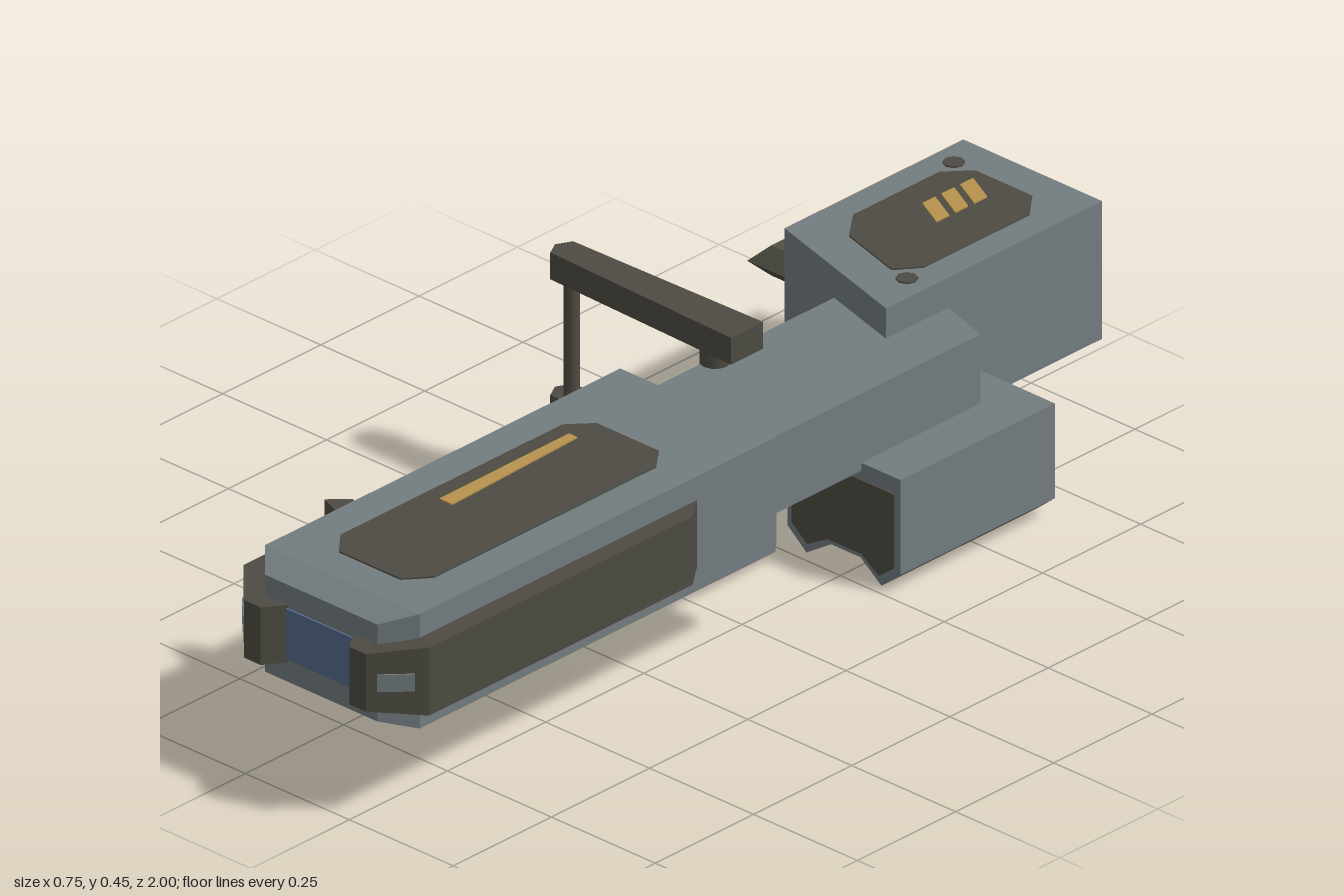
import * as THREE from 'three';

const mat = (name, color) => {
  const m = new THREE.MeshStandardMaterial({ color });
  m.name = name;
  return m;
};

export function createModel() {
  const grey = mat('steelGrey', 0x737d80);
  const olive = mat('darkOlive', 0x4d4b42);
  const blue = mat('windowBlue', 0x566a8c);
  const orange = mat('markingOrange', 0xb8934e);
  const model = new THREE.Group();
  model.name = 'device';

  const add = (name, geo, material) => {
    const mesh = new THREE.Mesh(geo, material);
    mesh.name = name;
    model.add(mesh);
    return mesh;
  };
  const shapeOf = (pts) => new THREE.Shape(pts.map(([x, y]) => new THREE.Vector2(x, y)));

  // Vertical prism from an outline of [x, z] points
  const prism = (pts, y0, y1) => {
    const g = new THREE.ExtrudeGeometry(shapeOf(pts.map(([x, z]) => [x, -z])), { depth: y1 - y0, bevelEnabled: false });
    return g.rotateX(-Math.PI / 2).translate(0, y0, 0);
  };
  // Prism along z from an outline of [x, y] points
  const prismZ = (pts, z0, z1) =>
    new THREE.ExtrudeGeometry(shapeOf(pts), { depth: z1 - z0, bevelEnabled: false }).translate(0, 0, z0);
  const box = (x0, x1, y0, y1, z0, z1) =>
    new THREE.BoxGeometry(x1 - x0, y1 - y0, z1 - z0).translate((x0 + x1) / 2, (y0 + y1) / 2, (z0 + z1) / 2);

  // Flat-shaded skin over four-point sections, turned so faces point outward
  const loft = (rings) => {
    const tris = [];
    const quad = (a, b, c, d) => tris.push([a, b, c], [a, c, d]);
    for (let i = 0; i + 1 < rings.length; i++)
      for (let j = 0; j < 4; j++) {
        const k = (j + 1) % 4;
        quad(rings[i][j], rings[i][k], rings[i + 1][k], rings[i + 1][j]);
      }
    const [a, b, c, d] = rings[0];
    const [e, f, g, h] = rings[rings.length - 1];
    quad(d, c, b, a);
    quad(e, f, g, h);
    const v = (p) => new THREE.Vector3(...p);
    const volume = tris.reduce((s, t) => s + v(t[0]).dot(v(t[1]).cross(v(t[2]))), 0);
    if (volume < 0) tris.forEach((t) => t.reverse());
    const geo = new THREE.BufferGeometry();
    geo.setAttribute('position', new THREE.Float32BufferAttribute(tris.flat(2), 3));
    geo.computeVertexNormals();
    return geo;
  };

  // Main body with a tapered nose and a slim rear bevel
  const section = (z, x0, x1, y0, y1) => [[x0, y0, z], [x1, y0, z], [x1, y1, z], [x0, y1, z]];
  add('mainBody', loft([
    section(-0.014, -0.032, 0.32, 0.187, 0.39),
    section(0, -0.043, 0.33, 0.175, 0.402),
    section(0.905, -0.043, 0.33, 0.175, 0.402),
    section(0.96, 0.01, 0.28, 0.192, 0.384),
  ]), grey);
  add('frontWindow', box(0.06, 0.225, 0.238, 0.338, 0.957, 0.964), blue);

  // Neck, rear block and lower block
  add('neck', prism([[0, 0], [0.28, 0], [0.28, -0.575], [0.17, -0.61], [0, -0.61]], 0.212, 0.365), grey);
  add('rearBlock', prism([[-0.163, -1], [0.171, -1], [0.171, -0.45], [-0.163, -0.545]], 0.152, 0.425), grey);
  const lowerOutline = [[0.102, 0.228], [0.102, 0.04], [0.148, 0.002], [0.207, 0.04], [0.278, 0.04], [0.328, 0.002], [0.374, 0.04], [0.374, 0.228]];
  add('lowerBlock', prismZ(lowerOutline, -0.665, -0.272), grey);
  const lowerPanel = [[0.116, 0.196], [0.116, 0.052], [0.153, 0.022], [0.202, 0.05], [0.284, 0.05], [0.326, 0.022], [0.362, 0.05], [0.362, 0.196]];
  add('lowerBlockFrontPanel', prismZ(lowerPanel, -0.274, -0.268), olive);
  add('lowerBlockBackPanel', prismZ(lowerPanel, -0.669, -0.663), olive);
  for (let i = 0; i < 4; i++) {
    const z = -0.61 + i * 0.077;
    add('lowerBlockMark', box(0.215, 0.27, 0.036, 0.041, z, z + 0.055), orange);
  }

  // Body panels and markings
  const bodyPanel = [[0.07, 0.18], [0.22, 0.18], [0.256, 0.225], [0.256, 0.79], [0.218, 0.836], [0.07, 0.836], [0.03, 0.79], [0.03, 0.225]];
  add('bodyTopPanel', prism(bodyPanel, 0.4, 0.405), olive);
  add('bodyTopStripe', prism([[0.065, 0.245], [0.085, 0.245], [0.097, 0.577], [0.067, 0.577]], 0.403, 0.408), orange);
  add('bodyBottomPanel', prism(bodyPanel.map(([x, z]) => [x, z - 0.05]), 0.172, 0.177), olive);
  add('bodyBottomStripe', box(0.06, 0.125, 0.169, 0.174, 0.42, 0.77), orange);
  for (let i = 0; i < 3; i++) {
    const z = 0.21 + i * 0.065;
    add('bodyBottomMark', prism([[0.05, z], [0.12, z + 0.03], [0.12, z + 0.07], [0.05, z + 0.04]], 0.169, 0.174), orange);
  }
  const bolt = (x, y, z) =>
    add('bolt', new THREE.CylinderGeometry(0.02, 0.02, 0.006, 8).translate(x, y, z), olive);
  bolt(0.245, 0.174, 0.87);
  bolt(0.025, 0.174, 0.87);

  // Rear block panels, markings and bolts on top and underneath
  const rearPanel = [[-0.065, -0.927], [0.072, -0.927], [0.115, -0.875], [0.115, -0.605], [0.08, -0.56], [-0.06, -0.6], [-0.107, -0.66], [-0.107, -0.88]];
  for (const [y, s] of [[0.425, 1], [0.152, -1]]) {
    add('rearBlockPanel', prism(rearPanel, y - 0.003, y + 0.003), olive);
    for (let i = 0; i < 3; i++) {
      const z = -0.9 + i * 0.048;
      add('rearBlockMark', prism([[-0.045, z], [0.02, z + 0.033], [0.02, z + 0.066], [-0.045, z + 0.033]], y + s * 0.004 - 0.002, y + s * 0.004 + 0.002), orange);
    }
    bolt(-0.115, y, -0.925);
    bolt(0.122, y, -0.555);
  }

  // Side rails that wrap round the nose: [outer x, outer z, inner x, inner z, half height]
  const midY = 0.2875;
  const mirrorX = (x) => 0.287 - x;
  const rail = [
    [0.33, 0.2, 0.31, 0.2, 0.0675], [0.367, 0.25, 0.31, 0.25, 0.0675], [0.367, 0.92, 0.31, 0.89, 0.0675],
    [0.29, 1, 0.26, 0.94, 0.057], [0.25, 1, 0.24, 0.94, 0.057], [0.22, 0.957, 0.22, 0.94, 0.057],
  ];
  const railRings = (rows, fx) => rows.map(([ox, oz, ix, iz, h]) =>
    [[fx(ox), midY - h, oz], [fx(ox), midY + h, oz], [fx(ix), midY + h, iz], [fx(ix), midY - h, iz]]);
  add('leftRail', loft(railRings(rail, (x) => x)), olive);
  const shortRail = [[0.367, 0.66, 0.31, 0.66, 0.0675], ...rail.slice(2)];
  add('rightRail', loft(railRings(shortRail, mirrorX)), olive);
  add('rightSidePanel', box(-0.047, -0.04, 0.22, 0.355, 0.15, 0.67), olive);
  add('rightRailHook', prism([[-0.145, 0.645], [-0.11, 0.61], [-0.035, 0.64], [-0.035, 0.69], [-0.08, 0.69], [-0.08, 0.67]], 0.22, 0.355), olive);

  // Small pale plates on the angled rail corners
  for (const fx of [(x) => x, mirrorX]) {
    const plate = [[0.352, 0.937], [0.305, 0.985], [0.301, 0.981], [0.348, 0.933]].map(([x, z]) => [fx(x), z + 0.003]);
    add('railCornerPlate', prism(plate, 0.27, 0.304), grey);
  }

  // Side handle: two tapered arms joined by posts
  const arm = [[0.088, -0.225], [0.088, -0.143], [-0.36, -0.157], [-0.375, -0.185], [-0.36, -0.215]];
  add('upperArm', prism(arm, 0.402, 0.455), olive);
  add('lowerArm', prism(arm, 0.122, 0.173), olive);
  const post = (name, x, r) =>
    add(name, new THREE.CylinderGeometry(r, r, 0.25, 12).translate(x, midY, -0.183), olive);
  post('outerPost', -0.333, 0.015);
  post('innerPost', 0.012, 0.028);

  // Rear grip loop with a diamond section and mitred corners
  const gripRing = (x, z, dx, dz) =>
    [[x - dx, midY, z - dz], [x, midY + 0.03, z], [x + dx, midY, z + dz], [x, midY - 0.03, z]];
  add('rearGrip', loft([
    gripRing(-0.15, -0.63, 0, -0.03), gripRing(-0.275, -0.63, 0.03, -0.03),
    gripRing(-0.275, -0.92, 0.03, 0.03), gripRing(-0.15, -0.92, 0, 0.03),
  ]), olive);
  for (const z of [-0.63, -0.92])
    add('gripBase', box(-0.167, -0.155, 0.235, 0.34, z - 0.035, z + 0.035), olive);

  return model;
}
